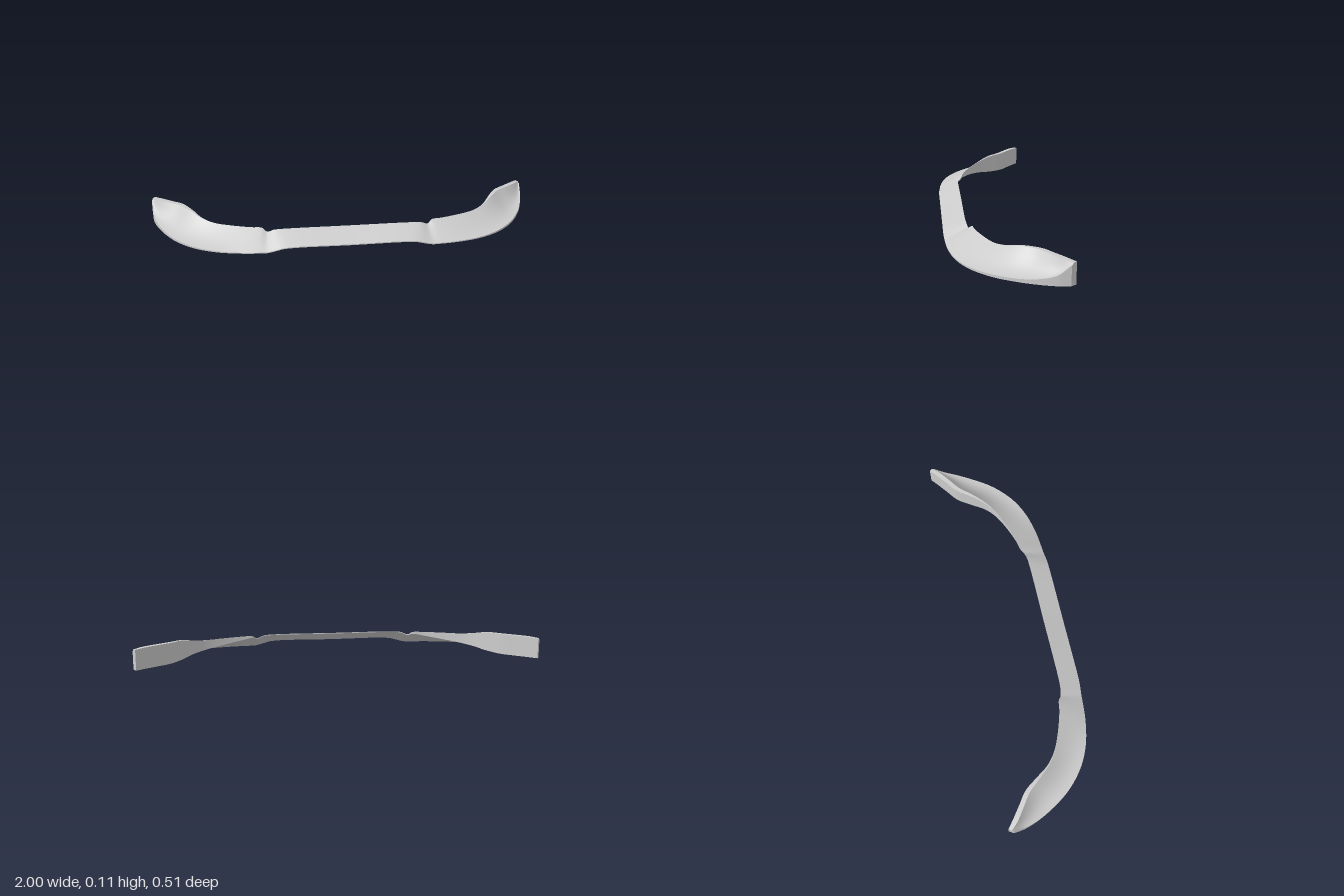
import * as THREE from 'three';
import { toCreasedNormals } from 'three/addons/utils/BufferGeometryUtils.js';

// One half of the lip, from the middle to the tip. Each station:
// outer edge x, z, y | inner top edge x, z, y | inner bottom y | outer crease y | flat top width
const STATIONS = [
  [0, .256, .026, 0, .15, .083, .079, .031, 0],
  [.32, .256, .025, .32, .15, .083, .079, .030, 0],
  [.36, .255, .016, .37, .147, .079, .075, .021, 0],
  [.41, .251, .004, .405, .140, .067, .062, .009, 0],
  [.45, .248, .003, .43, .124, .082, .072, .008, 0],
  [.53, .240, .003, .48, .115, .083, .064, .008, 0],
  [.64, .216, .003, .58, .083, .083, .048, .009, 0],
  [.73, .178, .003, .67, .042, .084, .034, .011, .002],
  [.80, .130, .003, .73, -.005, .094, .024, .013, .006],
  [.87, .060, .004, .775, -.065, .109, .015, .016, .014],
  [.93, -.030, .006, .83, -.140, .114, .011, .021, .022],
  [.97, -.110, .008, .89, -.185, .114, .010, .033, .024],
  [.993, -.180, .009, .945, -.226, .113, .010, .055, .024],
  [1, -.235, .010, .985, -.258, .110, .010, .100, .018],
];

// Closed cross-section: outer lip, hollow upper face, flat top, inner wall
function section([ax, az, ay, bx, bz, by, cy, dy, w]) {
  const outer = new THREE.Vector3(ax, ay, az);
  const crease = new THREE.Vector3(ax, dy, az);
  const innerTop = new THREE.Vector3(bx, by, bz);
  const innerBottom = new THREE.Vector3(bx, cy, bz);
  const across = new THREE.Vector3(ax - bx, 0, az - bz).normalize();
  const shoulder = innerTop.clone().addScaledVector(across, w);
  const power = 1 + 1.1 * THREE.MathUtils.smoothstep(bx, .45, .85);
  const points = [outer, crease];
  for (const t of [.2, .4, .6, .8, 1]) {
    const p = crease.clone().lerp(shoulder, t);
    p.y = dy + (by - dy) * t ** power;
    points.push(p);
  }
  points.push(innerTop, innerBottom);
  return points;
}

function loft(sections, steps) {
  const rails = sections[0].map((_, j) =>
    new THREE.CatmullRomCurve3(sections.map(s => s[j]), false, 'centripetal'));
  const count = (sections.length - 1) * steps, n = rails.length;
  const positions = [], index = [];
  for (let i = 0; i <= count; i++)
    for (const rail of rails) positions.push(...rail.getPoint(i / count).toArray());
  for (let i = 0; i < count; i++)
    for (let j = 0; j < n; j++) {
      const a = i * n + j, b = i * n + (j + 1) % n;
      index.push(a, a + n, b, b, a + n, b + n);
    }
  // End faces, fanned from the inner bottom corner
  const last = count * n;
  for (let j = 0; j < n - 2; j++) {
    index.push(n - 1, j, j + 1);
    index.push(last + n - 1, last + j + 1, last + j);
  }
  const geometry = new THREE.BufferGeometry();
  geometry.setAttribute('position', new THREE.Float32BufferAttribute(positions, 3));
  geometry.setIndex(index);
  return toCreasedNormals(geometry, Math.PI / 6);
}

export function createModel() {
  const half = STATIONS.map(section);
  const mirrored = half.slice(1).reverse()
    .map(s => s.map(p => new THREE.Vector3(-p.x, p.y, p.z)));
  const material = new THREE.MeshStandardMaterial({ color: 0xcccccc, side: THREE.DoubleSide });

  const lip = new THREE.Mesh(loft([...mirrored, ...half], 5), material);
  lip.name = 'frontBumperLip';
  const group = new THREE.Group();
  group.name = 'bumperLip';
  group.add(lip);
  return group;
}
